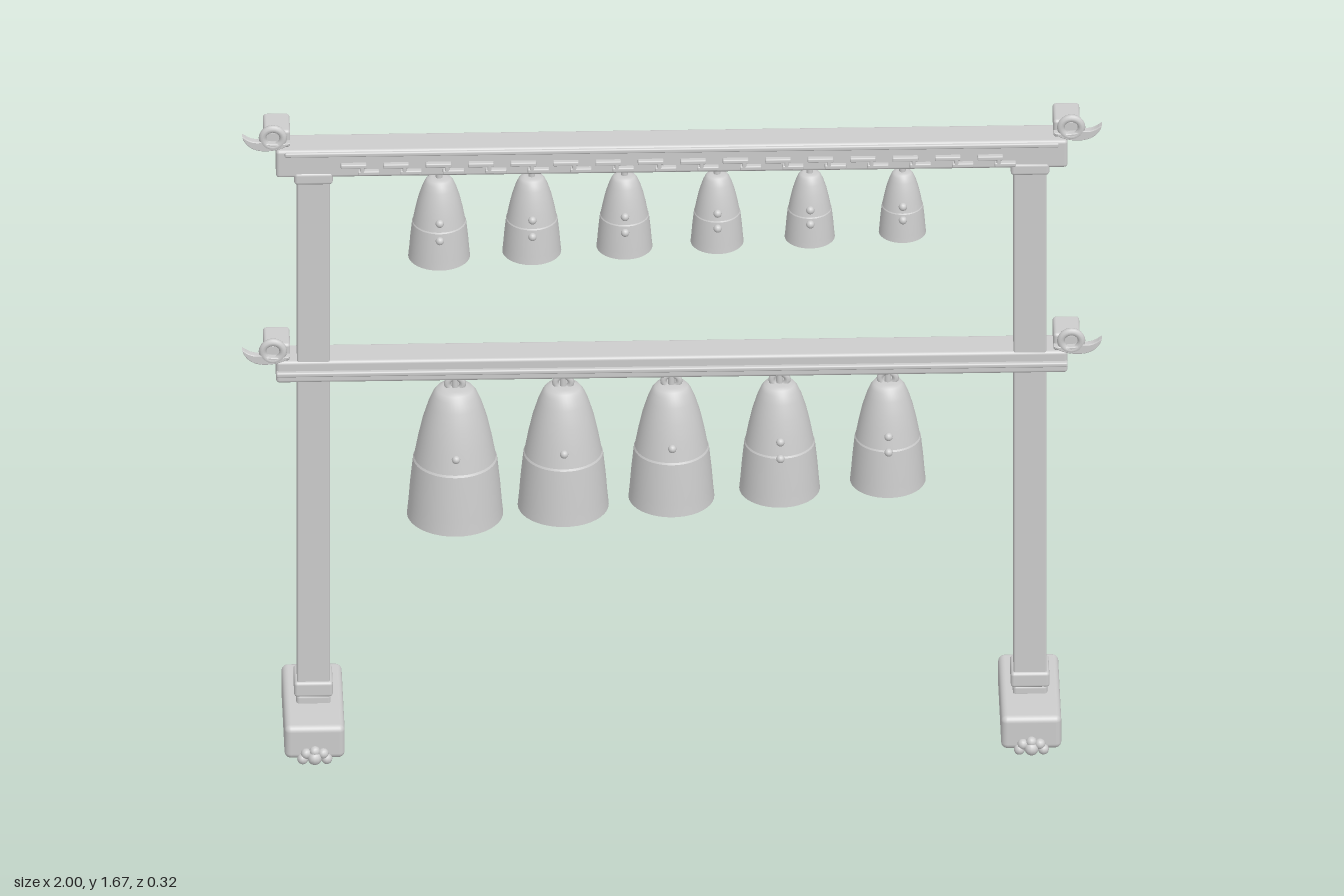
import * as THREE from 'three';
import { RoundedBoxGeometry } from 'three/addons/geometries/RoundedBoxGeometry.js';

const grey = new THREE.MeshStandardMaterial({ color: 0xcccccc, side: THREE.DoubleSide });
grey.name = 'plainGrey';
const Z = -0.008; // depth of the frame's centre line

function add(parent, name, geometry, x = 0, y = 0, z = 0) {
  const mesh = new THREE.Mesh(geometry, grey);
  mesh.name = name;
  mesh.position.set(x, y, z);
  parent.add(mesh);
  return mesh;
}

// Rounded box given by its bottom and top heights
function block(parent, name, x, y0, y1, z, w, d, r = 0.008) {
  return add(parent, name, new RoundedBoxGeometry(w, y1 - y0, d, 3, r), x, (y0 + y1) / 2, z);
}

function lathe(points) {
  return new THREE.LatheGeometry(points.map(([r, y]) => new THREE.Vector2(r, y)), 40);
}

// Bell wall: [radius, height], both as fractions
const LOWER = [[1, 0], [0.97, 0.1], [0.935, 0.25], [0.875, 0.44]];
const UPPER = [[0.85, 0.455], [0.77, 0.6], [0.67, 0.75], [0.55, 0.88], [0.46, 0.95], [0.38, 0.985], [0.25, 1], [0, 1]];

function makeBell(name, x, top, bottom, radius, beamY, studs, looped) {
  const bell = new THREE.Group();
  bell.name = name;
  bell.position.set(x, bottom, Z);
  const h = top - bottom;
  const scale = (pts) => pts.map(([r, y]) => [r * radius, y * h]);
  add(bell, 'bellSkirt', lathe(scale(LOWER)));
  add(bell, 'bellStep', lathe(scale([LOWER[3], UPPER[0]])));
  add(bell, 'bellCrown', lathe(scale(UPPER)));
  add(bell, 'bellRim', lathe(scale([[0.88, 0], [1, 0]])));
  add(bell, 'bellInside', lathe(scale([[0, 0.85], [0.35, 0.8], [0.65, 0.5], [0.8, 0.2], [0.88, 0]])));
  // Bosses on the front of the wall
  const wall = [...LOWER, ...UPPER];
  for (const f of studs) {
    const i = wall.findIndex((p) => p[1] >= f);
    const [a, b] = [wall[i - 1], wall[i]];
    const r = a[0] + ((b[0] - a[0]) * (f - a[1])) / (b[1] - a[1]);
    add(bell, 'bellStud', new THREE.SphereGeometry(0.01, 12, 8), 0, f * h, r * radius);
  }
  // Hanger
  const gap = beamY - top;
  add(bell, 'bellHanger', new THREE.CylinderGeometry(0.008, 0.008, gap + 0.01, 12), 0, h + gap / 2, 0);
  if (looped) {
    const loop = add(bell, 'bellLoop', new THREE.TorusGeometry(0.018, 0.008, 8, 20), 0, h + 0.008, 0);
    loop.scale.y = 0.9;
  }
  return bell;
}

// Curled hook with a ring, for the right-hand side of the frame
function makeHook(y) {
  const hook = new THREE.Group();
  hook.name = 'endHook';
  const shape = new THREE.Shape();
  shape.moveTo(0.998, y + 0.04);
  shape.quadraticCurveTo(0.985, y + 0.004, 0.945, y + 0.004);
  shape.quadraticCurveTo(0.91, y + 0.004, 0.89, y + 0.022);
  shape.quadraticCurveTo(0.935, y + 0.014, 0.955, y + 0.026);
  shape.quadraticCurveTo(0.978, y + 0.022, 0.998, y + 0.04);
  add(hook, 'hookCrescent', new THREE.ExtrudeGeometry(shape, {
    depth: 0.012, bevelThickness: 0.003, bevelSize: 0.002, bevelSegments: 2, curveSegments: 10,
  }), 0, 0, 0.041);
  add(hook, 'hookRing', new THREE.TorusGeometry(0.024, 0.009, 10, 24), 0.928, y + 0.035, 0.048);
  block(hook, 'hookBlock', 0.918, y - 0.002, y + 0.045, Z, 0.062, 0.085);
  return hook;
}

export function createModel() {
  const model = new THREE.Group();
  model.name = 'bellRack';

  // Legs, bases and end hooks, one side and its mirror
  for (const s of [1, -1]) {
    const side = new THREE.Group();
    side.name = s > 0 ? 'leftSide' : 'rightSide';
    side.scale.x = s;
    model.add(side);
    const x = 0.833;
    block(side, 'post', x, 0.08, 1.53, Z, 0.076, 0.077, 0.004);
    block(side, 'base', x, 0.01, 0.097, Z, 0.14, 0.3, 0.015);
    block(side, 'lowerCollar', x, 0.09, 0.118, Z, 0.08, 0.08);
    block(side, 'upperCollar', x, 0.115, 0.155, Z, 0.09, 0.09);
    block(side, 'capital', x, 1.498, 1.53, Z, 0.09, 0.085);
    // Rounded toes on the front of the base
    for (let i = 0; i < 5; i++) {
      const a = (i / 4) * Math.PI;
      add(side, 'toe', new THREE.SphereGeometry(0.013, 12, 8),
        x + 0.028 * Math.cos(a), 0.014 + 0.02 * Math.sin(a), 0.144);
    }
    add(side, 'toePad', new THREE.SphereGeometry(0.017, 12, 8), x, 0.018, 0.147);
    side.add(makeHook(1.602), makeHook(1.025));
  }

  // Crossbeams
  block(model, 'topBeam', 0, 1.517, 1.59, Z, 1.84, 0.08);
  block(model, 'middleBeam', 0, 0.963, 1.021, Z, 1.84, 0.082);
  block(model, 'middleMoulding', 0, 0.984, 0.996, 0.035, 1.84, 0.016, 0.004);
  block(model, 'topMoulding', 0, 1.574, 1.586, 0.03, 1.8, 0.014, 0.004);

  // Stepped relief along the top beam
  const count = 16;
  for (let i = 0; i < count; i++) {
    const x = -0.74 + (i * 1.48) / (count - 1);
    block(model, 'reliefUpper', x, 1.546, 1.557, 0.035, 0.06, 0.018, 0.003);
    block(model, 'reliefLower', x + 0.035, 1.528, 1.539, 0.035, 0.05, 0.018, 0.003);
    block(model, 'reliefUpright', x + 0.02, 1.53, 1.556, 0.035, 0.01, 0.018, 0.003);
  }

  // Six small bells above, shrinking towards +x
  for (let i = 0; i < 6; i++) {
    model.add(makeBell('smallBell', -0.54 + i * 0.2154, 1.492, 1.281 + i * 0.0096,
      0.072 - i * 0.0034, 1.52, [0.36, 0.56], false));
  }
  // Five large bells below, shrinking towards +x
  for (let i = 0; i < 5; i++) {
    model.add(makeBell('largeBell', -0.503 + i * 0.2515, 0.925, 0.585 + i * 0.0187,
      0.112 - i * 0.006, 0.967, i > 2 ? [0.44, 0.58] : [0.57], true));
  }
  return model;
}
